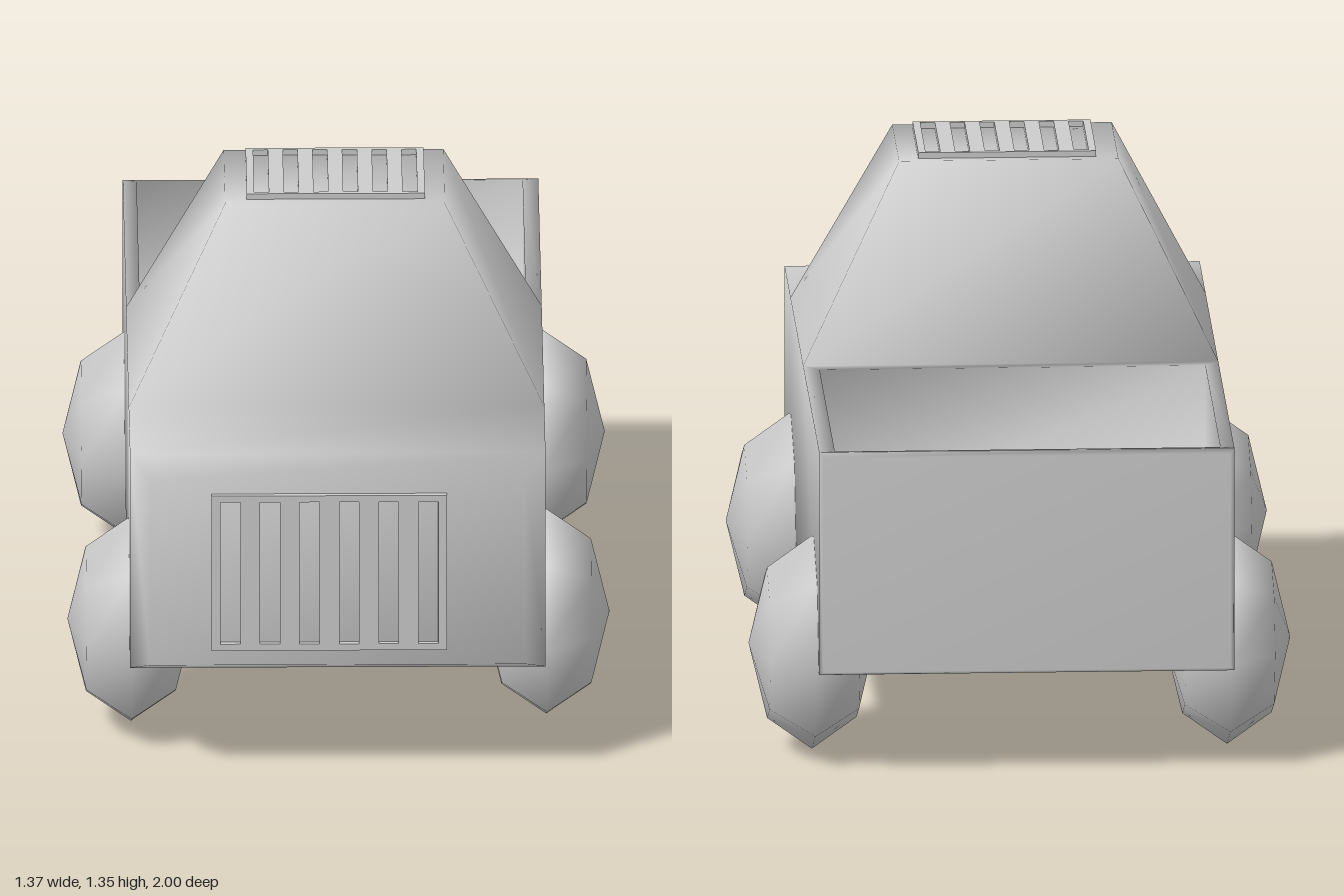
import * as THREE from 'three';

const paint = new THREE.MeshStandardMaterial({ color: 0xcccccc });
paint.name = 'light grey';

// One smooth shell: chamfered body, tapered cab and open load bed
function buildShell() {
  const points = [], faces = [];
  const add = (x, y, z) => points.push(x, y, z) / 3 - 1;
  const quad = (a, b, c, d) => faces.push(a, b, c, a, c, d);
  const band = (a, b, skip = -1) => {
    for (let k = 0; k < 4; k++) {
      const n = (k + 1) % 4;
      if (k !== skip) quad(a[k], a[n], b[n], b[k]);
    }
  };
  // upright rectangle across the car
  const section = (x0, x1, y0, y1, z) =>
    [add(x0, y0, z), add(x1, y0, z), add(x1, y1, z), add(x0, y1, z)];
  // level rectangle
  const level = (x0, x1, z0, z1, y) =>
    [add(x0, y, z1), add(x1, y, z1), add(x1, y, z0), add(x0, y, z0)];

  const rear = section(-0.52, 0.51, 0.28, 0.84, -1);
  const tail = section(-0.53, 0.52, 0.27, 0.85, -0.985);
  const cabRear = section(-0.53, 0.52, 0.27, 0.85, -0.11);
  const cabFront = section(-0.53, 0.52, 0.27, 0.85, 0.58);
  const hood = section(-0.53, 0.52, 0.27, 0.85, 0.9);
  const nose = section(-0.48, 0.47, 0.31, 0.81, 0.985);

  // body, left open on top under the cab and over the bed
  quad(...[...rear].reverse());
  band(rear, tail);
  band(tail, cabRear, 2);
  band(cabRear, cabFront, 2);
  band(cabFront, hood);
  band(hood, nose);
  quad(...nose);

  // cab
  const roof = level(-0.285, 0.27, 0.05, 0.42, 1.34);
  band([cabFront[3], cabFront[2], cabRear[2], cabRear[3]], roof);
  quad(...roof);

  // bed rim, walls and floor
  const rim = level(-0.495, 0.48, -0.975, -0.15, 0.85);
  const floor = level(-0.495, 0.48, -0.975, -0.15, 0.43);
  band([cabRear[3], cabRear[2], tail[2], tail[3]], rim);
  band(rim, floor);
  quad(...floor);

  const geometry = new THREE.BufferGeometry();
  geometry.setAttribute('position', new THREE.Float32BufferAttribute(points, 3));
  geometry.setIndex(faces);
  geometry.computeVertexNormals();
  return geometry;
}

function rectangle(target, x, y, w, h) {
  target.moveTo(x, y).lineTo(x + w, y).lineTo(x + w, y + h).lineTo(x, y + h).closePath();
  return target;
}

// Slotted plate, centred, facing +z
function buildGrille(w, h, pitch, slotWidth, slotHeight) {
  const plate = rectangle(new THREE.Shape(), -w / 2, -h / 2, w, h);
  for (let i = 0; i < 6; i++) {
    const x = (i - 2.5) * pitch - slotWidth / 2;
    plate.holes.push(rectangle(new THREE.Path(), x, -slotHeight / 2, slotWidth, slotHeight));
  }
  return new THREE.ExtrudeGeometry(plate, { depth: 0.015, bevelEnabled: false });
}

export function createModel() {
  const model = new THREE.Group();
  model.name = 'pickupTruck';
  const part = (name, geometry, x, y, z) => {
    const mesh = new THREE.Mesh(geometry, paint);
    mesh.name = name;
    mesh.position.set(x, y, z);
    model.add(mesh);
    return mesh;
  };

  part('bodyShell', buildShell(), 0, 0, 0);

  // grille on the nose and vent on the roof
  part('frontGrille', buildGrille(0.595, 0.42, 0.1, 0.05, 0.385), -0.027, 0.565, 0.985);
  part('roofVent', buildGrille(0.45, 0.315, 0.075, 0.037, 0.29), -0.005, 1.34, 0.233)
    .rotation.x = -Math.PI / 2;

  // rounded eight-sided wheels, poles along the axle
  const wheel = new THREE.SphereGeometry(1, 8, 4);
  wheel.rotateZ(Math.PI / 2);
  wheel.scale(0.16, 0.278, 0.278);
  part('frontLeftWheel', wheel, 0.525, 0.28, 0.545);
  part('frontRightWheel', wheel, -0.525, 0.28, 0.585);
  part('rearLeftWheel', wheel, 0.525, 0.28, -0.69);
  part('rearRightWheel', wheel, -0.525, 0.28, -0.69);

  return model;
}
